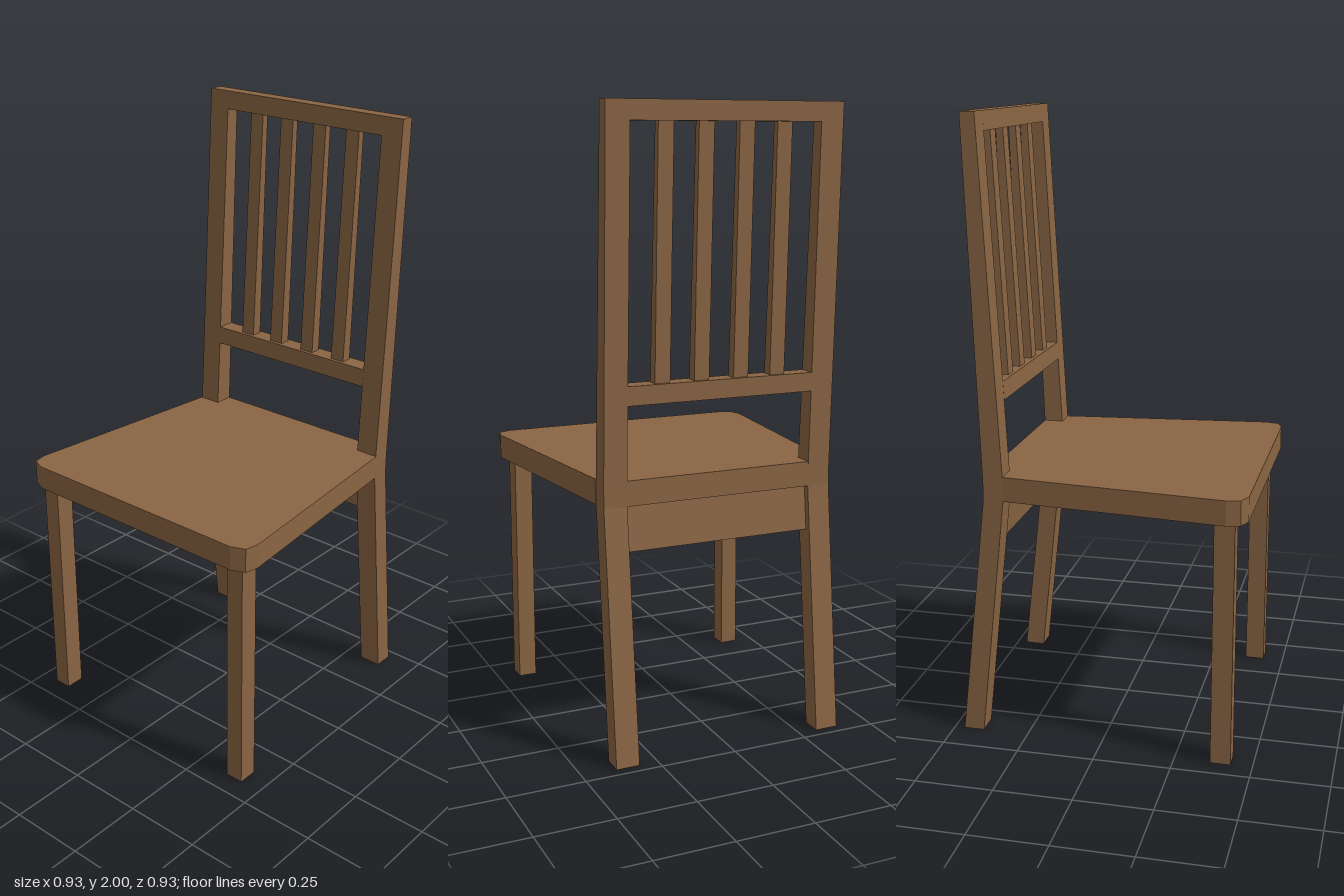
import * as THREE from 'three';

const wood = new THREE.MeshStandardMaterial({ color: 0x8a6543 });
wood.name = 'brown wood';

// Side outline of the back frame: front and back z at a given height
const frontZ = (y) => (y > 0.88 ? -0.315 - 0.06 * (y - 0.88) / 1.12 : -0.315 - 0.085 * Math.max(0, 0.8 - y) / 0.8);
const backZ = (y) => (y > 0.86 ? -0.38 - 0.042 * (y - 0.86) / 1.14 : -0.38 - 0.087 * Math.max(0, 0.8 - y) / 0.8);

export function createModel() {
  const chair = new THREE.Group();
  chair.name = 'chair';

  const add = (name, geometry, x = 0, y = 0, z = 0) => {
    const mesh = new THREE.Mesh(geometry, wood);
    mesh.name = name;
    mesh.position.set(x, y, z);
    chair.add(mesh);
  };

  // Extrudes a side profile of [z, y] points from x0 to x1
  const slab = (name, profile, x0, x1) => {
    const shape = new THREE.Shape(profile.map(([z, y]) => new THREE.Vector2(z, y)));
    const geometry = new THREE.ExtrudeGeometry(shape, { depth: x1 - x0, bevelEnabled: false });
    geometry.rotateY(-Math.PI / 2);
    add(name, geometry, x1);
  };

  // Piece that follows the lean of the frame, inset from its front and back
  const leaning = (name, x0, x1, y0, y1, inFront = 0, inBack = 0) => slab(name, [
    [frontZ(y0) - inFront, y0], [frontZ(y1) - inFront, y1],
    [backZ(y1) + inBack, y1], [backZ(y0) + inBack, y0],
  ], x0, x1);

  // Tapered seat with clipped front corners, its back fitted between the posts
  const half = [[0.313, -0.38], [0.313, -0.315], [0.39, -0.315], [0.465, 0.405], [0.455, 0.449], [0.41, 0.467]];
  const outline = [...half, ...half.map(([x, z]) => [-x, z]).reverse()];
  const seat = new THREE.ExtrudeGeometry(
    new THREE.Shape(outline.map(([x, z]) => new THREE.Vector2(x, z))),
    { depth: 0.08, bevelEnabled: false });
  seat.rotateX(Math.PI / 2);
  add('seat', seat, 0, 0.88, 0);

  // Rear legs running up into the back posts
  const heights = [0, 0.8, 0.87, 2];
  const post = [
    ...heights.map((y) => [frontZ(y), y]),
    ...heights.map((y) => [backZ(y), y]).reverse(),
  ];
  slab('leftBackPost', post, 0.312, 0.388);
  slab('rightBackPost', post, -0.388, -0.312);

  // Front legs
  add('leftFrontLeg', new THREE.BoxGeometry(0.06, 0.8, 0.065), 0.397, 0.4, 0.398);
  add('rightFrontLeg', new THREE.BoxGeometry(0.06, 0.8, 0.065), -0.408, 0.4, 0.398);

  // Cross rails and the apron under the back of the seat
  leaning('topRail', -0.312, 0.312, 1.94, 2);
  leaning('lowerRail', -0.312, 0.312, 1.11, 1.17);
  leaning('rearApron', -0.312, 0.312, 0.655, 0.8, 0.008, 0.022);

  // Upright slats
  for (const x of [-0.194, -0.068, 0.065, 0.195]) {
    leaning('backSlat', x - 0.025, x + 0.025, 1.17, 1.94, 0.012, 0.012);
  }

  return chair;
}
